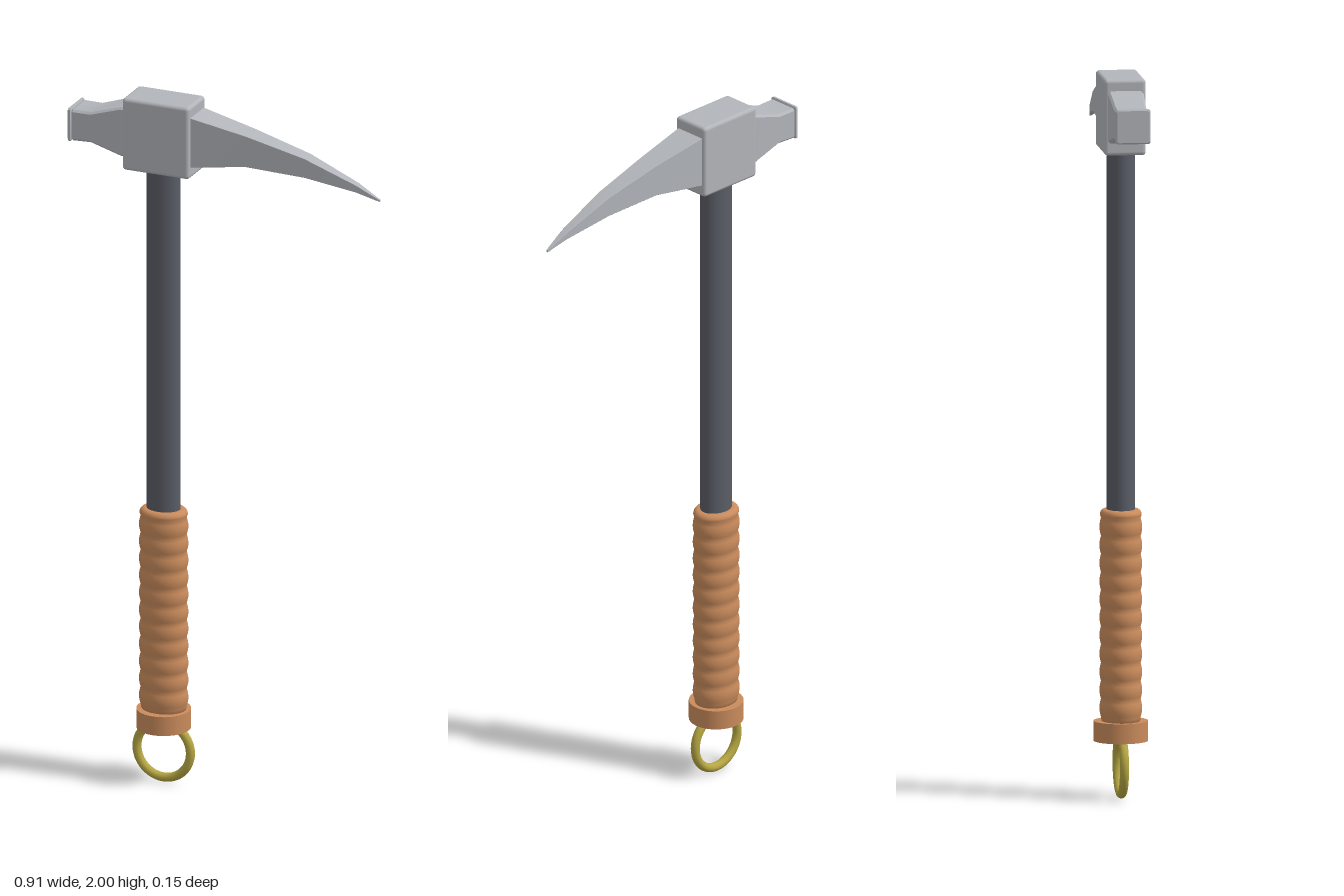
import * as THREE from 'three';
import { toCreasedNormals } from 'three/addons/utils/BufferGeometryUtils.js';
import { RoundedBoxGeometry } from 'three/addons/geometries/RoundedBoxGeometry.js';

const AXIS_X = -0.19;

function material(name, color) {
  const m = new THREE.MeshStandardMaterial({ color });
  m.name = name;
  return m;
}

// Loft of chamfered rectangles along +x; each section is [x, top, bottom, halfDepth, chamfer]
function loft(sections) {
  const positions = [], index = [], n = 8;
  for (const [x, top, bottom, w, c] of sections) {
    const ring = [
      [top, -w + c], [top, w - c], [top - c, w], [bottom + c, w],
      [bottom, w - c], [bottom, -w + c], [bottom + c, -w], [top - c, -w],
    ];
    for (const [y, z] of ring) positions.push(x, y, z);
  }
  for (let i = 0; i < sections.length - 1; i++) {
    for (let j = 0; j < n; j++) {
      const a = i * n + j, b = i * n + (j + 1) % n;
      index.push(a, b, a + n, b, b + n, a + n);
    }
  }
  const last = (sections.length - 1) * n;
  for (let j = 1; j < n - 1; j++) {
    index.push(0, j + 1, j, last, last + j, last + j + 1);
  }
  const geo = new THREE.BufferGeometry();
  geo.setAttribute('position', new THREE.Float32BufferAttribute(positions, 3));
  geo.setIndex(index);
  return toCreasedNormals(geo, 0.4);
}

export function createModel() {
  const steel = material('steel', 0xb2b5ba);
  const darkMetal = material('dark shaft', 0x5a5d66);
  const leather = material('tan grip', 0xc98b5c);
  const brass = material('brass', 0xb5a642);

  const model = new THREE.Group();
  model.name = 'rockPick';
  const add = (name, geo, mat, x = 0, y = 0) => {
    const mesh = new THREE.Mesh(geo, mat);
    mesh.name = name;
    mesh.position.set(x, y, 0);
    model.add(mesh);
    return mesh;
  };

  // Head block around the top of the shaft
  add('headBlock', new RoundedBoxGeometry(0.2, 0.21, 0.114, 3, 0.01), steel, AXIS_X, 1.895);

  // Curved tapering pick
  add('pick', loft([
    [-0.10, 1.970, 1.823, 0.047, 0.001],
    [0.07, 1.935, 1.845, 0.033, 0.001],
    [0.24, 1.892, 1.836, 0.022, 0.001],
    [0.39, 1.833, 1.812, 0.011, 0.001],
    [0.457, 1.798, 1.792, 0.003, 0.001],
  ]), steel);

  // Hammer neck and striking face
  add('hammerNeck', loft([
    [-0.45, 1.935, 1.852, 0.042, 0.006],
    [-0.443, 1.938, 1.848, 0.046, 0.006],
    [-0.39, 1.938, 1.850, 0.045, 0.006],
    [-0.30, 1.968, 1.826, 0.049, 0.006],
    [-0.28, 1.970, 1.823, 0.047, 0.006],
  ]), steel);
  add('strikingFace', loft([
    [-0.458, 1.938, 1.850, 0.044, 0.004],
    [-0.455, 1.942, 1.846, 0.048, 0.004],
    [-0.449, 1.942, 1.846, 0.048, 0.004],
    [-0.447, 1.938, 1.850, 0.044, 0.004],
  ]), steel);

  // Oval shaft
  const shaft = add('shaft', new THREE.CylinderGeometry(0.048, 0.048, 1.1, 40), darkMetal, AXIS_X, 1.29);
  shaft.scale.z = 0.8;

  // Oval grip with shallow ripples and a rounded top
  const profile = [new THREE.Vector2(0.045, 0.205), new THREE.Vector2(0.062, 0.21)];
  const ripples = 11, steps = 6, y0 = 0.225, y1 = 0.775;
  for (let i = 0; i <= ripples * steps; i++) {
    const t = i / (ripples * steps);
    const r = 0.0645 + 0.005 * Math.abs(Math.sin(t * ripples * Math.PI));
    profile.push(new THREE.Vector2(r, y0 + (y1 - y0) * t));
  }
  for (let i = 0; i <= 5; i++) {
    const a = (i / 5) * Math.PI / 2;
    profile.push(new THREE.Vector2(0.053 + 0.015 * Math.cos(a), 0.785 + 0.015 * Math.sin(a)));
  }
  profile.push(new THREE.Vector2(0.046, 0.8));
  const grip = add('grip', new THREE.LatheGeometry(profile, 40), leather, AXIS_X);
  grip.scale.z = 0.84;

  // Round end collar
  add('collar', new THREE.CylinderGeometry(0.075, 0.075, 0.055, 40), leather, AXIS_X, 0.1875);

  // Hanging ring
  add('hangingRing', new THREE.TorusGeometry(0.08, 0.0125, 14, 48), brass, AXIS_X, 0.0925);

  return model;
}
